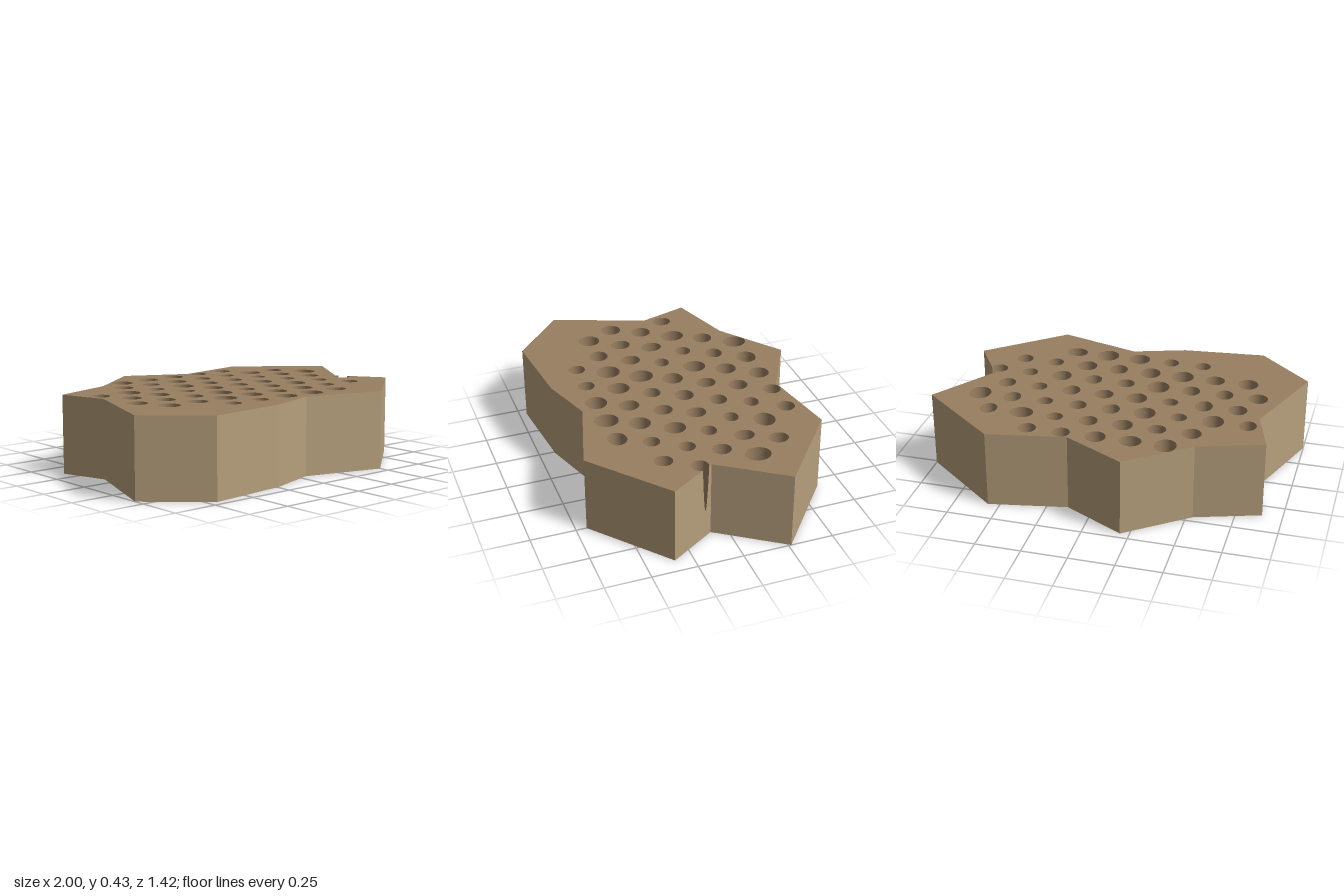
import * as THREE from 'three';
import { mergeGeometries } from 'three/addons/utils/BufferGeometryUtils.js';

const TOP = 0.433, DEPTH = 0.3, TAPER = 0.19, SEG = 32;

// Slab outline as [x, z], starting at the back left
const OUTLINE = [
  [-0.89, -0.345], [-0.535, -0.46], [-0.2, -0.712], [0.135, -0.535], [0.565, -0.615],
  [1, -0.265], [0.755, 0.09], [0.915, 0.345], [0.5, 0.692], [0.05, 0.565],
  [-0.24, 0.66], [-0.7, 0.708], [-1, 0.435], [-0.81, -0.08],
];
const NOTCHED = 6; // edge that the last pit of the fifth row breaks through

// Pit rows: first x, then [x radius, z radius] in hundredths
const ROWS = [
  [-0.385, [[5.9, 6.7], [6, 5.5], [5.5, 5.7], [4.8, 4.9], [4.8, 5.1]]],
  [-0.49, [[5.3, 5.5], [5.1, 4.7], [5.6, 5.8], [5, 5.3], [4.5, 4.2], [6.4, 5.8], [4.7, 5.5]]],
  [-0.762, [[4.7, 5.3], [5.8, 6.7], [4.5, 4.3], [5.8, 6.4], [4.8, 5.5], [4.9, 4.9], [4.5, 4.1], [4.7, 5.6], [6, 7]]],
  [-0.678, [[5.2, 5.5], [4.9, 6], [4.5, 4.2], [5.7, 5.8], [5.3, 5.2], [4.9, 5.5], [4.5, 4.4], [4.8, 5.2]]],
  [-0.762, [[5.5, 5.6], [4.9, 5.5], [5, 5.5], [6.2, 6.9], [4.9, 4.8], [4.8, 5.3], [5.5, 6], [4.4, 4.5], [4.75, 4.75]]],
  [-0.678, [[5.7, 6], [5.5, 5.3], [6.3, 6.6], [5.7, 6.2], [5.2, 5.7], [5.8, 5.8], [4.5, 4.6], [4.7, 5]]],
  [-0.385, [[4.5, 4.6], [4.5, 4.7], [6.1, 6], [6.2, 6.6], [6, 5.2]]],
];

const scaleAt = (drop) => 1 - TAPER * drop / DEPTH;

// Half angle of the opening where a pit cuts through a wall
const opening = (pit, drop) => pit.gap ? Math.acos(Math.min(1, pit.gap / (pit.rx * scaleAt(drop)))) : 0;

// Ring of a pit at a given depth, counterclockwise from above
function ring(pit, drop) {
  const a = opening(pit, drop), s = scaleAt(drop), points = [];
  for (let i = 0; i <= SEG; i++) {
    const t = pit.turn - a - (i / SEG) * (2 * Math.PI - 2 * a);
    points.push([pit.x + pit.rx * s * Math.cos(t), pit.z + pit.rz * s * Math.sin(t)]);
  }
  return points;
}

// Tapered inner wall plus flat floor
function pitGeometry(pit) {
  const position = [], index = [], W = SEG + 1;
  pit.drops.forEach((drop, k) => {
    ring(pit, drop).forEach(([x, z]) => position.push(x, TOP - drop, z));
    if (k === 0) return;
    for (let i = 0; i < SEG; i++) {
      const t = (k - 1) * W + i, b = k * W + i;
      index.push(b, t + 1, b + 1, b, t, t + 1);
    }
  });
  const floor = position.length / 3;
  ring(pit, DEPTH).forEach(([x, z]) => position.push(x, TOP - DEPTH, z));
  position.push(pit.x, TOP - DEPTH, pit.z);
  for (let i = 0; i < SEG; i++) index.push(floor + W, floor + i, floor + i + 1);
  const geometry = new THREE.BufferGeometry();
  geometry.setAttribute('position', new THREE.Float32BufferAttribute(position, 3));
  geometry.setIndex(index);
  geometry.computeVertexNormals();
  return geometry;
}

export function createModel() {
  const group = new THREE.Group();
  const faceMaterial = new THREE.MeshStandardMaterial({ name: 'brown face', color: 0x987e60 });
  const wallMaterial = new THREE.MeshStandardMaterial({ name: 'tan wall', color: 0xb69f7c });
  const add = (name, geometry, material) => {
    const mesh = new THREE.Mesh(geometry, material);
    mesh.name = name;
    group.add(mesh);
  };

  // Staggered pits
  const pits = ROWS.flatMap(([x0, radii], r) => radii.map(([rx, rz], i) => ({
    x: x0 + i * 0.1888, z: -0.49 + r * 0.16, rx: rx / 100, rz: rz / 100,
    turn: 0, drops: [0, DEPTH],
  })));

  // The pit that breaks through the right wall
  const [ax, az] = OUTLINE[NOTCHED], [bx, bz] = OUTLINE[NOTCHED + 1];
  const length = Math.hypot(bx - ax, bz - az), ux = (bx - ax) / length, uz = (bz - az) / length;
  const open = pits[ROWS.slice(0, 5).reduce((n, row) => n + row[1].length, 0) - 1];
  open.x = 0.746;
  open.z = 0.15;
  open.gap = uz * (ax - open.x) - ux * (az - open.z);
  open.turn = Math.atan2(-ux, uz);
  const along = (open.x - ax) * ux + (open.z - az) * uz;
  const tip = (1 - open.gap / open.rx) * DEPTH / TAPER;
  const cuts = Array.from({ length: 17 }, (_, i) => tip * (1 - (1 - i / 16) ** 2));
  open.drops = [...cuts, DEPTH];

  // Top face with pit holes
  const rim = [...OUTLINE.slice(0, NOTCHED + 1), ...ring(open, 0), ...OUTLINE.slice(NOTCHED + 1)];
  const flat = (points) => points.map(([x, z]) => new THREE.Vector2(x, -z));
  const top = new THREE.Shape(flat(rim));
  top.holes = pits.filter((p) => p !== open).map((p) => new THREE.Path(flat(ring(p, 0).slice(0, SEG))));
  add('topFace', new THREE.ShapeGeometry(top).rotateX(-Math.PI / 2).translate(0, TOP, 0), faceMaterial);

  // Underside
  const base = new THREE.Shape(OUTLINE.map(([x, z]) => new THREE.Vector2(x, z)));
  add('underside', new THREE.ShapeGeometry(base).rotateX(Math.PI / 2), faceMaterial);

  // Flat side walls, one with the notch cut from its upper edge
  const panels = OUTLINE.map(([x1, z1], i) => {
    const [x0, z0] = OUTLINE[(i + 1) % OUTLINE.length];
    const w = Math.hypot(x1 - x0, z1 - z0);
    const points = [[0, 0], [w, 0], [w, TOP]];
    if (i === NOTCHED) {
      const side = (sign) => cuts.map((d) =>
        [w - along + sign * open.rx * scaleAt(d) * Math.sin(opening(open, d)), TOP - d]);
      points.push(...side(1), ...side(-1).slice(0, -1).reverse());
    }
    points.push([0, TOP]);
    const u = new THREE.Vector3((x1 - x0) / w, 0, (z1 - z0) / w), up = new THREE.Vector3(0, 1, 0);
    const place = new THREE.Matrix4().makeBasis(u, up, u.clone().cross(up)).setPosition(x0, 0, z0);
    return new THREE.ShapeGeometry(new THREE.Shape(points.map((p) => new THREE.Vector2(...p)))).applyMatrix4(place);
  });
  add('sideWalls', mergeGeometries(panels), wallMaterial);

  add('pits', mergeGeometries(pits.map(pitGeometry)), faceMaterial);
  return group;
}
